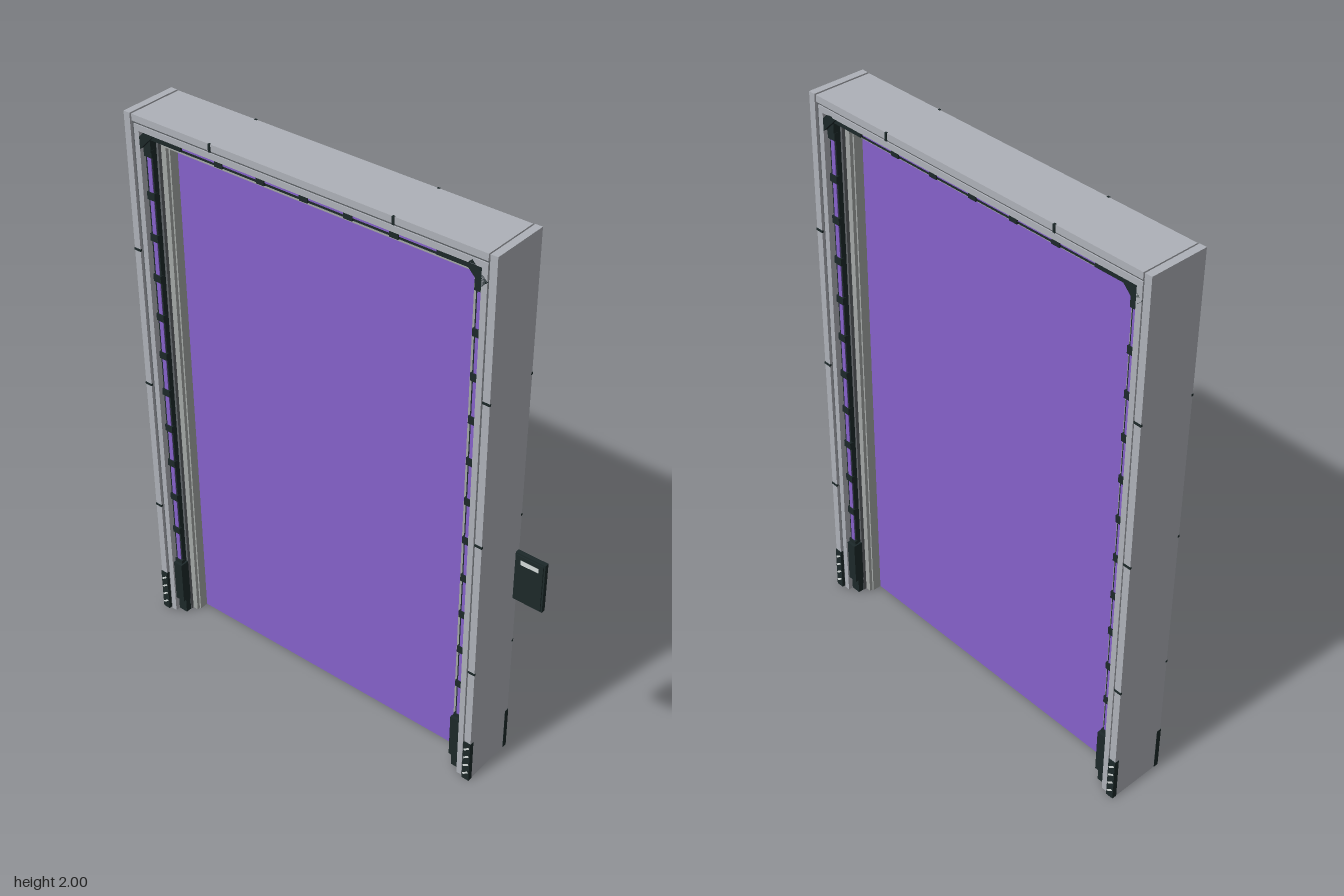
import * as THREE from 'three';

const mat = (name, color) => {
  const m = new THREE.MeshStandardMaterial({ color });
  m.name = name;
  return m;
};

const CX = -0.115;  // centre line of the door frame
const HW = 0.695;   // half width of the frame
const TOP = 2;

export function createModel() {
  const grey = mat('frame grey', 0xaeb1b8);
  const trim = mat('trim grey', 0xa3a7a5);
  const groove = mat('groove grey', 0x5d6165);
  const black = mat('black plastic', 0x1c2829);
  const purple = mat('purple', 0x8561ca);
  const white = mat('pale marking', 0xd5dad9);

  const root = new THREE.Group();
  root.name = 'doorFrame';

  const box = (parent, name, m, x0, x1, y0, y1, z0, z1) => {
    const mesh = new THREE.Mesh(new THREE.BoxGeometry(x1 - x0, y1 - y0, z1 - z0), m);
    mesh.position.set((x0 + x1) / 2, (y0 + y1) / 2, (z0 + z1) / 2);
    mesh.name = name;
    parent.add(mesh);
    return mesh;
  };

  // One upside-down U, lying between two insets from the outer edge
  const arch = (name, m, a, b, z) => {
    const s = new THREE.Shape();
    [[-HW + a, 0], [-HW + b, 0], [-HW + b, TOP - b], [HW - b, TOP - b],
      [HW - b, 0], [HW - a, 0], [HW - a, TOP - a], [-HW + a, TOP - a]]
      .forEach(([x, y], i) => (i ? s.lineTo(x, y) : s.moveTo(x, y)));
    const mesh = new THREE.Mesh(new THREE.ExtrudeGeometry(s, { depth: 2 * z, bevelEnabled: false }), m);
    mesh.position.set(CX, 0, -z);
    mesh.name = name;
    root.add(mesh);
  };

  // Stepped frame, from the outside to the opening
  for (const s of [-1, 1]) {
    const x = CX + s * (HW - 0.0125);
    box(root, 'outerJamb', grey, x - 0.0125, x + 0.0125, 0, TOP, -0.105, 0.105);
  }
  box(root, 'lintel', grey, CX - HW + 0.031, CX + HW - 0.031, TOP - 0.024, TOP - 0.001, -0.104, 0.104);
  arch('outerGroove', groove, 0.024, 0.034, 0.096);
  arch('middleTrim', grey, 0.034, 0.054, 0.1);
  arch('lightRail', black, 0.054, 0.084, 0.078);
  arch('railGroove', groove, 0.084, 0.092, 0.06);
  arch('innerTrim', trim, 0.092, 0.112, 0.048);
  arch('innerLip', trim, 0.112, 0.118, 0.036);

  // Door panel
  box(root, 'doorPanel', purple, CX - HW + 0.116, CX + HW - 0.116, 0, TOP - 0.116, -0.003, 0.003);

  // Fittings, the same on the front and the back
  const face = new THREE.Group();
  face.name = 'frontFittings';
  face.position.x = CX;
  for (const s of [-1, 1]) {
    const side = new THREE.Group();
    side.name = s < 0 ? 'rightFittings' : 'leftFittings';
    face.add(side);
    const at = (name, m, a, b, y0, y1, z0, z1) => {
      const p = s * (HW - a), q = s * (HW - b);
      return box(side, name, m, Math.min(p, q), Math.max(p, q), y0, y1, z0, z1);
    };
    // Vertical lights between black clips
    for (let i = 0; i < 12; i++) {
      const y = 1.87 - i * 0.149;
      at('railClip', black, 0.054, 0.086, y - 0.013, y + 0.013, 0.07, 0.085);
      if (i < 11) at('sideLight', purple, 0.062, 0.078, y - 0.136, y - 0.013, 0.076, 0.081);
    }
    at('railFoot', black, 0.055, 0.092, 0.06, 0.23, 0.06, 0.095);
    at('footPlate', black, 0.052, 0.09, 0, 0.06, 0.06, 0.082);
    // Joint marks on the jamb
    for (const y of [0.48, 1, 1.52]) {
      at('jambJoint', black, -0.001, 0.026, y - 0.004, y + 0.004, 0.1, 0.107);
    }
    // Kick guard with slanted markings
    at('kickGuard', black, -0.001, 0.027, 0, 0.168, 0.09, 0.108);
    for (let i = 0; i < 4; i++) {
      const y = 0.03 + i * 0.037;
      const stripe = at('guardStripe', white, 0.001, 0.025, y - 0.003, y + 0.003, 0.107, 0.11);
      stripe.rotation.z = 0.65;
    }
    // Corner bracket
    const bar = at('cornerBracket', black, 0.032, 0.108, 1.908, 1.938, 0.07, 0.1);
    bar.rotation.z = -s * Math.PI / 4;
    at('cornerArm', black, 0.075, 0.215, 1.922, 1.947, 0.07, 0.088);
    at('cornerPost', black, 0.054, 0.085, 1.87, 1.925, 0.07, 0.086);
    // Joint marks on the lintel
    box(face, 'lintelJoint', black, s * 0.343 - 0.004, s * 0.343 + 0.004, 1.973, TOP, 0.1, 0.107);
  }
  // Lights along the top
  for (let i = 0; i < 6; i++) {
    const x = (i - 2.5) * 0.165;
    box(face, 'topLight', purple, x - 0.067, x + 0.067, 1.926, 1.941, 0.076, 0.081);
    if (i) box(face, 'topClip', black, x - 0.098, x - 0.067, 1.917, 1.947, 0.07, 0.085);
  }
  root.add(face);
  const back = face.clone();
  back.name = 'backFittings';
  back.rotation.y = Math.PI;
  root.add(back);

  // Wall control unit beside the frame
  const control = new THREE.Group();
  control.name = 'controlUnit';
  box(control, 'controlBody', black, 0.7, 0.805, 0.87, 1.05, 0.09, 0.105);
  box(control, 'controlCover', black, 0.705, 0.8, 0.875, 1.045, 0.086, 0.109);
  box(control, 'controlDisplay', white, 0.722, 0.785, 1.015, 1.031, 0.107, 0.11);
  root.add(control);

  return root;
}
